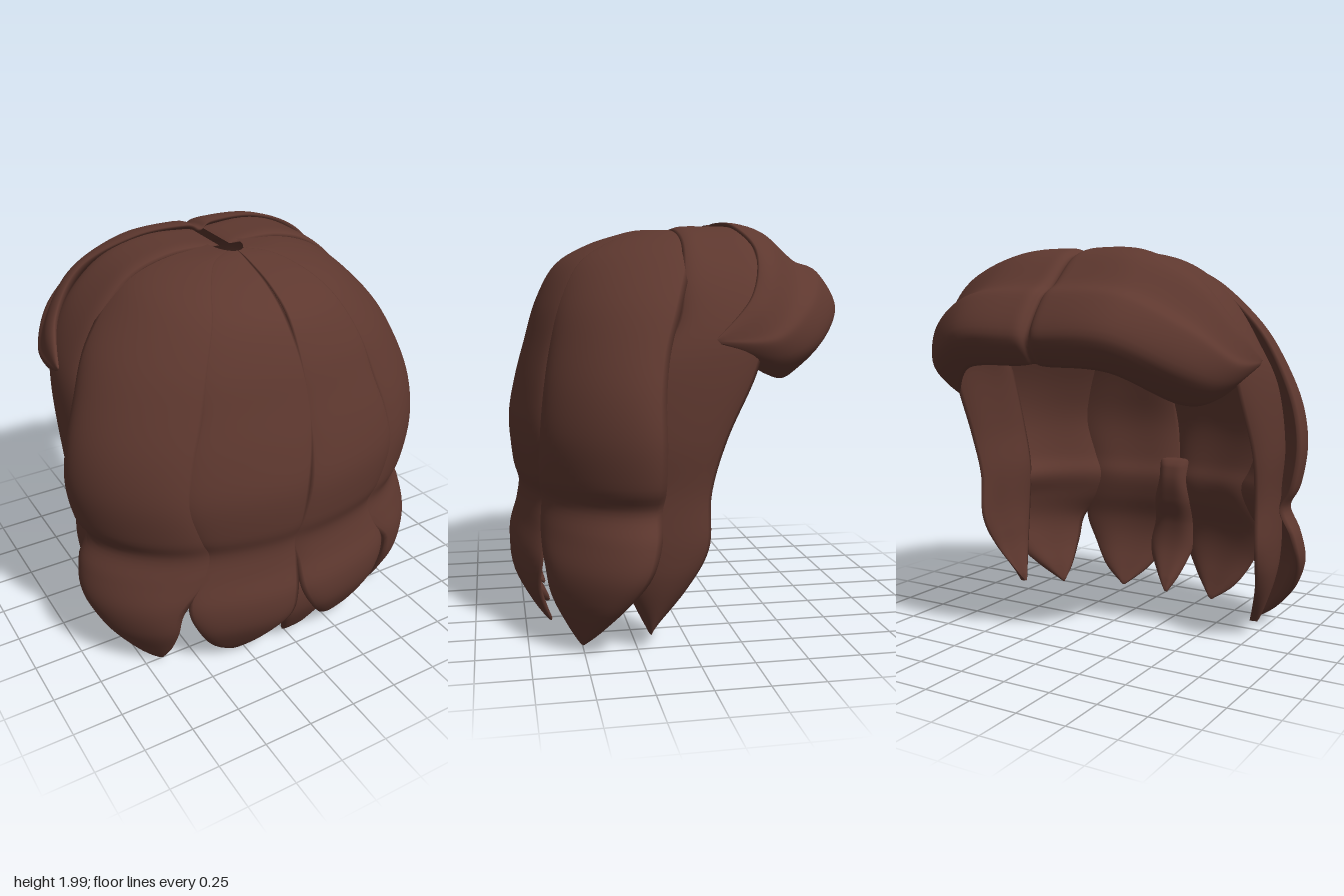
import * as THREE from 'three';

const { lerp, degToRad, smoothstep } = THREE.MathUtils;

// Smooth interpolation through rows of numbers; t runs 0..1 over all rows.
function sampleRows(rows, t) {
  const f = t * (rows.length - 1);
  const i = Math.min(Math.floor(f), rows.length - 2);
  const u = f - i;
  const at = (k) => rows[Math.max(0, Math.min(rows.length - 1, k))];
  const [a, b, c, d] = [at(i - 1), at(i), at(i + 1), at(i + 2)];
  return b.map((p, k) => p + 0.5 * u * (c[k] - a[k]
    + u * (2 * a[k] - 5 * p + 4 * c[k] - d[k] + u * (3 * (p - c[k]) + d[k] - a[k]))));
}

// Thick lock of hair: surface(s, t) is the outer skin, s across and t along.
// The rim is rounded inwards and the inner skin closes the cross-section.
// A flush lock has almost no rim near its top, so neighbours merge there.
function lockGeometry(surface, { raise = 0, round = 0.02, thick = 0.045, ns = 24, nt = 72, mirror = false, flush = false }) {
  const ring = [];
  for (let i = 0; i <= ns; i++) ring.push([i / ns, false]);
  for (let i = ns - 1; i > 0; i--) ring.push([i / ns, true]);
  const pos = [], idx = [], n = ring.length;
  for (let j = 0; j <= nt; j++) {
    const t = j / nt;
    const fade = Math.sqrt(Math.min(1, t * 14, (1 - t) * 7));
    const relief = flush ? lerp(0.1, 1, smoothstep(t, 0.22, 0.45)) : 1;
    for (const [s, inner] of ring) {
      const p = surface(s, t);
      const e = Math.abs(2 * s - 1);
      const inward = new THREE.Vector3(0, Math.min(p.y, 1.1), 0).sub(p).normalize();
      const rim = round * relief;
      const depth = inner ? rim + thick * (1 - e ** 4) * fade : rim * (1 - (1 - e ** 6) * fade);
      p.addScaledVector(inward, depth - raise * relief);
      pos.push(mirror ? -p.x : p.x, p.y, p.z);
    }
  }
  for (let j = 0; j < nt; j++) {
    for (let i = 0; i < n; i++) {
      const a = j * n + i, b = j * n + (i + 1) % n;
      idx.push(a, b, a + n, b, b + n, a + n);
    }
  }
  // Turn all faces outwards using the sign of the enclosed volume.
  const corner = (k) => new THREE.Vector3().fromArray(pos, idx[k] * 3);
  let volume = 0;
  for (let k = 0; k < idx.length; k += 3) volume += corner(k).dot(corner(k + 1).cross(corner(k + 2)));
  if (volume < 0) idx.reverse();
  const geometry = new THREE.BufferGeometry();
  geometry.setAttribute('position', new THREE.Float32BufferAttribute(pos, 3));
  geometry.setIndex(idx);
  geometry.computeVertexNormals();
  return geometry;
}

// Front shell by height: y, half width, z of the side edge, z of the front
const shell = [
  [1.96, 0.08, -0.03, 0.13], [1.94, 0.30, -0.05, 0.22], [1.88, 0.49, -0.05, 0.40],
  [1.78, 0.63, -0.02, 0.56], [1.60, 0.79, 0.05, 0.66], [1.40, 0.89, 0.12, 0.72],
  [1.20, 0.96, 0.15, 0.775], [1.00, 0.985, 0.15, 0.81], [0.80, 0.955, 0.15, 0.795],
  [0.68, 0.90, 0.16, 0.765], [0.55, 0.955, 0.17, 0.78], [0.40, 0.975, 0.20, 0.82],
  [0.25, 0.93, 0.24, 0.81], [0.10, 0.87, 0.25, 0.74], [0, 0.85, 0.25, 0.67],
];

// A lock lying on the shell between two angles (degrees from the front) per row
function shellLock(angles) {
  const rows = shell.slice(shell.length - angles.length);
  return (s, t) => {
    const [y, w, zSide, zFront] = sampleRows(rows, t);
    const [from, to] = sampleRows(angles, t);
    const a = degToRad(lerp(from, to, s));
    return new THREE.Vector3(w * Math.sin(a), y, zSide + (zFront - zSide) * Math.cos(a));
  };
}

// Front locks share their outer edge; their inner edges overlap at the parting
const frontOuter = [34, 34, 34, 34, 34, 34, 37, 39, 36, 35, 36, 38, 36, 31, 21.5];
const partingLeft = [0, 0, 0, 0, 0.5, 1, 1, 0, -2, -4, -2, -1, 4, 12, 20.5];
const partingRight = [0, 0, 0, 0, -2.5, -4, -3, -1, 0, 1, 1, 2, 4, 12, 20.5];
const frontAngles = (parting) => parting.map((a, i) => [a, frontOuter[i]]);
const sideAngles = [
  [30, 90], [30, 90], [30, 90], [30, 90], [30, 90], [31, 90], [33, 90], [34, 90],
  [31, 90], [29, 90], [30, 90], [39, 88], [43.5, 81], [48, 67], [51.5, 52.5],
];
const centerAngles = [[-6, 7], [-6, 7], [-7, 9], [-7, 10], [-7, 12], [-4, 7], [-0.5, 0.5]];

// Rear side lock: x of the back edge, x of the front edge, y, z back, z front
const rearRows = [
  [0.03, 0.03, 1.97, -0.30, 0.0], [0.30, 0.30, 1.965, -0.33, 0.0], [0.52, 0.52, 1.89, -0.35, 0.0],
  [0.70, 0.69, 1.73, -0.35, 0.03], [0.81, 0.80, 1.52, -0.34, 0.08], [0.85, 0.84, 1.30, -0.29, 0.24],
  [0.87, 0.84, 1.00, -0.15, 0.34], [0.86, 0.81, 0.75, -0.08, 0.36], [0.86, 0.82, 0.50, -0.07, 0.36],
  [0.83, 0.80, 0.30, 0.03, 0.31], [0.74, 0.74, 0.07, 0.185, 0.20],
];
const rearLock = (s, t) => {
  const [xBack, xFront, y, zBack, zFront] = sampleRows(rearRows, t);
  const bulge = 0.16 * s * (1 - s) * smoothstep(t, 0.2, 0.5);
  return new THREE.Vector3(lerp(xBack, xFront, s) + bulge, y, lerp(zBack, zFront, s));
};

// Back cap: sections from the crown edge to the lower edge, centre to side
const capHalf = [
  [[0, 1.98, -0.24], [0, 1.935, -0.42], [0, 1.80, -0.58], [0, 1.735, -0.68], [0, 1.57, -0.785], [0, 1.45, -0.74]],
  [[0.08, 2.01, -0.25], [0.08, 1.955, -0.43], [0.08, 1.82, -0.595], [0.08, 1.755, -0.71], [0.08, 1.58, -0.82], [0.08, 1.44, -0.76]],
  [[0.35, 1.99, -0.28], [0.37, 1.93, -0.44], [0.41, 1.79, -0.59], [0.43, 1.74, -0.70], [0.42, 1.57, -0.80], [0.40, 1.42, -0.73]],
  [[0.64, 1.86, -0.33], [0.66, 1.80, -0.41], [0.69, 1.65, -0.51], [0.71, 1.59, -0.59], [0.70, 1.42, -0.62], [0.65, 1.27, -0.51]],
  [[0.81, 1.65, -0.27], [0.83, 1.59, -0.32], [0.85, 1.49, -0.35], [0.86, 1.44, -0.38], [0.83, 1.36, -0.38], [0.78, 1.29, -0.35]],
  [[0.885, 1.46, -0.09], [0.885, 1.455, -0.095], [0.885, 1.45, -0.10], [0.885, 1.445, -0.105], [0.885, 1.44, -0.11], [0.88, 1.435, -0.12]],
];
const capSections = [
  ...capHalf.slice(1).reverse().map((sec) => sec.map(([x, y, z]) => [-x, y, z])),
  ...capHalf,
].map((sec) => sec.flat());
const cap = (s, t) => {
  const flat = sampleRows(capSections, t);
  const points = [0, 3, 6, 9, 12, 15].map((k) => flat.slice(k, k + 3));
  return new THREE.Vector3(...sampleRows(points, s));
};

export function createModel() {
  const hair = new THREE.MeshStandardMaterial({ color: 0x5e382f });
  hair.name = 'chestnut hair';
  const model = new THREE.Group();
  model.name = 'hair';
  const add = (name, surface, options) => {
    const mesh = new THREE.Mesh(lockGeometry(surface, options), hair);
    mesh.name = name;
    model.add(mesh);
  };

  // Paired locks
  for (const mirror of [false, true]) {
    const side = mirror ? 'right' : 'left';
    const parting = mirror ? partingRight : partingLeft;
    add(`${side}FrontLock`, shellLock(frontAngles(parting)), { mirror, flush: true });
    add(`${side}SideLock`, shellLock(sideAngles), { mirror, raise: 0.012, round: 0.03, flush: true });
    add(`${side}RearLock`, rearLock, { mirror, thick: 0.05 });
  }

  // Small lock under the front parting, and the cap over the back
  add('centerLock', shellLock(centerAngles), { raise: -0.025 });
  add('backCap', cap, { thick: 0.05, ns: 30, nt: 100 });
  return model;
}
